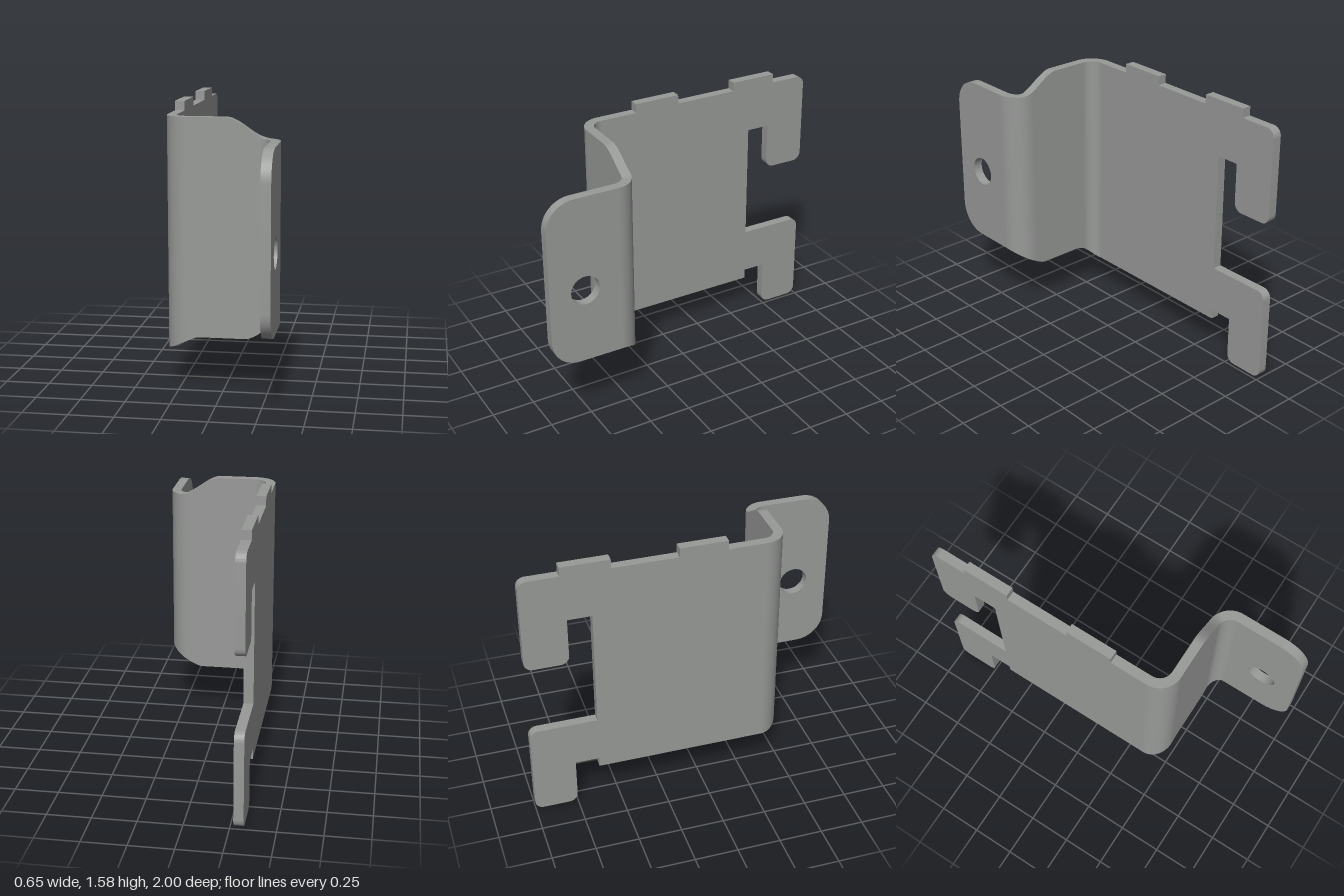
import * as THREE from 'three';
import { mergeGeometries, toCreasedNormals } from 'three/addons/utils/BufferGeometryUtils.js';

const T = 0.055;            // sheet thickness
const R = 0.1025;           // bend radius at mid-thickness
const ARC = R * Math.PI / 2;
const WEB = 0.39;           // flat length between the bends
const LENGTH = 2 * ARC + WEB;

// Outline from [x, y, cornerRadius] points; radius 0 or missing means a sharp corner.
function outline(points) {
  const shape = new THREE.Shape();
  const n = points.length;
  points.forEach(([x, y, r = 0], i) => {
    const p = new THREE.Vector2(x, y);
    const toward = ([qx, qy]) => new THREE.Vector2(qx, qy).sub(p).setLength(r).add(p);
    const a = r ? toward(points[(i + n - 1) % n]) : p;
    if (i === 0) shape.moveTo(a.x, a.y);
    else shape.lineTo(a.x, a.y);
    if (r) {
      const b = toward(points[(i + 1) % n]);
      const k = 0.5523; // quarter-circle handle length
      const h1 = a.clone().lerp(p, k), h2 = b.clone().lerp(p, k);
      shape.bezierCurveTo(h1.x, h1.y, h2.x, h2.y, b.x, b.y);
    }
  });
  shape.closePath();
  return shape;
}

// Flat plate standing in the y-z plane; shape x runs toward the rear.
function plate(shape, x) {
  const geo = new THREE.ExtrudeGeometry(shape, { depth: T, bevelEnabled: false, curveSegments: 16 });
  geo.rotateY(Math.PI / 2).translate(x, 0, 0);
  return toCreasedNormals(geo, 0.6);
}

// Mid-line of the double bend: position and surface normal at arc length s.
function bendPath(s) {
  if (s < ARC) {
    const a = s / R, nx = -Math.cos(a), nz = Math.sin(a);
    return { x: -0.195 + R * nx, z: 0.37 + R * nz, nx, nz };
  }
  if (s < ARC + WEB) return { x: -0.195 + s - ARC, z: 0.4725, nx: 0, nz: 1 };
  const a = (s - ARC - WEB) / R, nx = -Math.sin(a), nz = Math.cos(a);
  return { x: 0.195 - R * nx, z: 0.575 - R * nz, nx, nz };
}

// Smooth strip between two equally sampled edges.
function ribbon(edgeA, edgeB) {
  const pos = [], index = [];
  edgeA.forEach((a, i) => {
    pos.push(...a, ...edgeB[i]);
    if (i > 0) {
      const j = 2 * (i - 1);
      index.push(j, j + 2, j + 3, j, j + 3, j + 1);
    }
  });
  const geo = new THREE.BufferGeometry();
  geo.setAttribute('position', new THREE.Float32BufferAttribute(pos, 3));
  geo.setIndex(index);
  geo.computeVertexNormals();
  return geo;
}

// Web with both bends, its top and bottom edges easing between the plate heights.
function bentWeb() {
  const ease = THREE.MathUtils.smoothstep;
  const topF = [], topB = [], lowF = [], lowB = [];
  const N = 108;
  for (let i = 0; i <= N; i++) {
    const s = LENGTH * i / N;
    const { x, z, nx, nz } = bendPath(s);
    const top = 1.53 - 0.112 * ease(s, 0.37, 0.61);
    const low = 0.222 + 0.086 * ease(s, 0.02, 0.23) + 0.112 * ease(s, 0.475, LENGTH);
    const h = T / 2;
    topF.push([x + nx * h, top, z + nz * h]);
    topB.push([x - nx * h, top, z - nz * h]);
    lowF.push([x + nx * h, low, z + nz * h]);
    lowB.push([x - nx * h, low, z - nz * h]);
  }
  return mergeGeometries([
    ribbon(lowF, topF), ribbon(topB, lowB), ribbon(topF, topB), ribbon(lowB, lowF),
  ]);
}

export function createModel() {
  const group = new THREE.Group();
  group.name = 'bracket';
  const material = new THREE.MeshStandardMaterial({ color: 0x989a98 });
  const add = (name, geo) => {
    const mesh = new THREE.Mesh(geo, material);
    mesh.name = name;
    group.add(mesh);
  };

  // Rear plate with two hooks and two top tabs
  const c = 0.05;
  add('hookPlate', plate(outline([
    [-0.37, 0.222], [0.612, 0.222], [0.612, 0.28], [0.75, 0.28],
    [0.75, 0, c], [1, 0, c], [1, 0.555, c], [0.612, 0.555],
    [0.612, 1.255], [0.75, 1.255], [0.75, 0.975, c], [1, 0.975, c], [1, 1.53, c],
    [0.777, 1.53], [0.777, 1.583], [0.5, 1.583], [0.5, 1.53],
    [0.125, 1.53], [0.125, 1.583], [-0.15, 1.583], [-0.15, 1.53], [-0.37, 1.53],
  ]), -0.325));

  add('bentWeb', bentWeb());

  // Front flange with rounded corners and a bolt hole
  const flange = outline([[-1, 0.42, 0.165], [-0.575, 0.42], [-0.575, 1.418], [-1, 1.418, 0.165]]);
  flange.holes.push(new THREE.Path().absarc(-0.788, 0.861, 0.086, 0, Math.PI * 2, true));
  add('mountingFlange', plate(flange, 0.27));

  return group;
}
